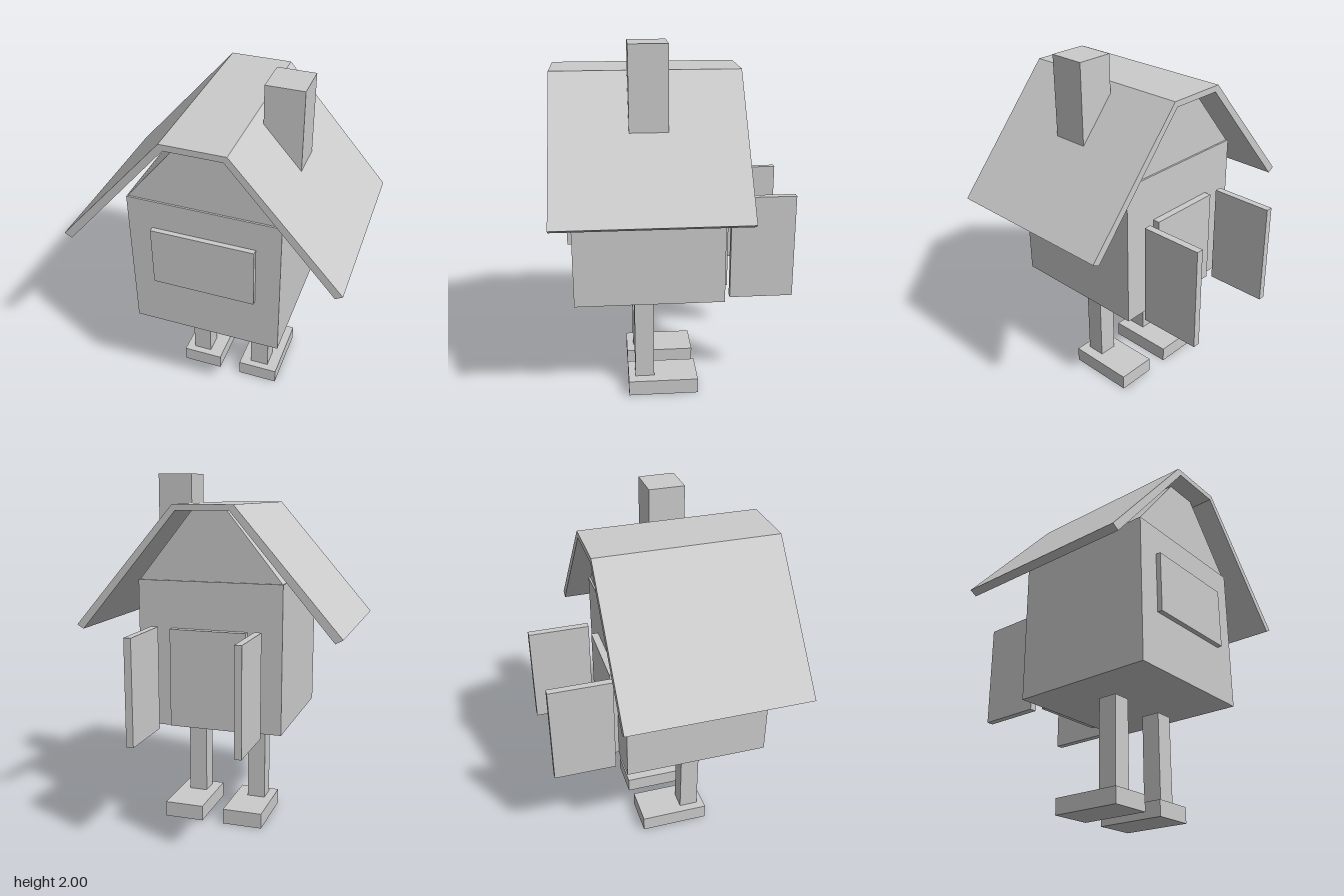
import * as THREE from 'three';

const material = new THREE.MeshStandardMaterial({ color: 0xcccccc, flatShading: true });

export function createModel() {
  const model = new THREE.Group();

  function add(name, geometry) {
    const mesh = new THREE.Mesh(geometry, material);
    mesh.name = name;
    model.add(mesh);
  }

  // Box given by its extents along each axis
  function box(name, [x0, x1], [y0, y1], [z0, z1]) {
    const g = new THREE.BoxGeometry(x1 - x0, y1 - y0, z1 - z0);
    g.translate((x0 + x1) / 2, (y0 + y1) / 2, (z0 + z1) / 2);
    add(name, g);
  }

  // Outline in x and y, extruded from z0 to z1
  function prism(name, points, z0, z1) {
    const shape = new THREE.Shape(points.map(([x, y]) => new THREE.Vector2(x, y)));
    const g = new THREE.ExtrudeGeometry(shape, { depth: z1 - z0, bevelEnabled: false });
    g.translate(0, 0, z0);
    add(name, g);
  }

  // House body and the attic above it
  box('body', [-0.41, 0.405], [0.615, 1.43], [-0.26, 0.555]);
  prism('attic', [[-0.405, 1.43], [0.4, 1.43], [0.095, 1.805], [-0.1, 1.805]], -0.25, 0.545);

  // Bent roof sheet with a flat ridge
  prism('roof', [
    [-0.745, 1.177], [-0.705, 1.155], [-0.148, 1.805], [0.148, 1.805],
    [0.702, 1.155], [0.74, 1.177], [0.165, 1.838], [-0.168, 1.838],
  ], -0.357, 0.647);
  box('chimney', [0.205, 0.405], [1.53, 2], [0.045, 0.245]);

  // Front window and back doorway
  box('window', [-0.28, 0.275], [0.925, 1.265], [0.55, 0.583]);
  box('doorway', [-0.22, 0.21], [0.625, 1.17], [-0.3, -0.255]);

  // Two open doors, legs and feet
  for (const [side, doorX, legX, footX] of [
    ['right', [-0.307, -0.268], [-0.22, -0.115], [-0.268, -0.037]],
    ['left', [0.278, 0.318], [0.15, 0.257], [0.09, 0.32]],
  ]) {
    box(side + 'Door', doorX, [0.6, 1.18], [-0.65, -0.3]);
    box(side + 'Leg', legX, [0.085, 0.585], [0.12, 0.228]);
    box(side + 'Foot', footX, [0, 0.088], [-0.128, 0.268]);
  }

  return model;
}
